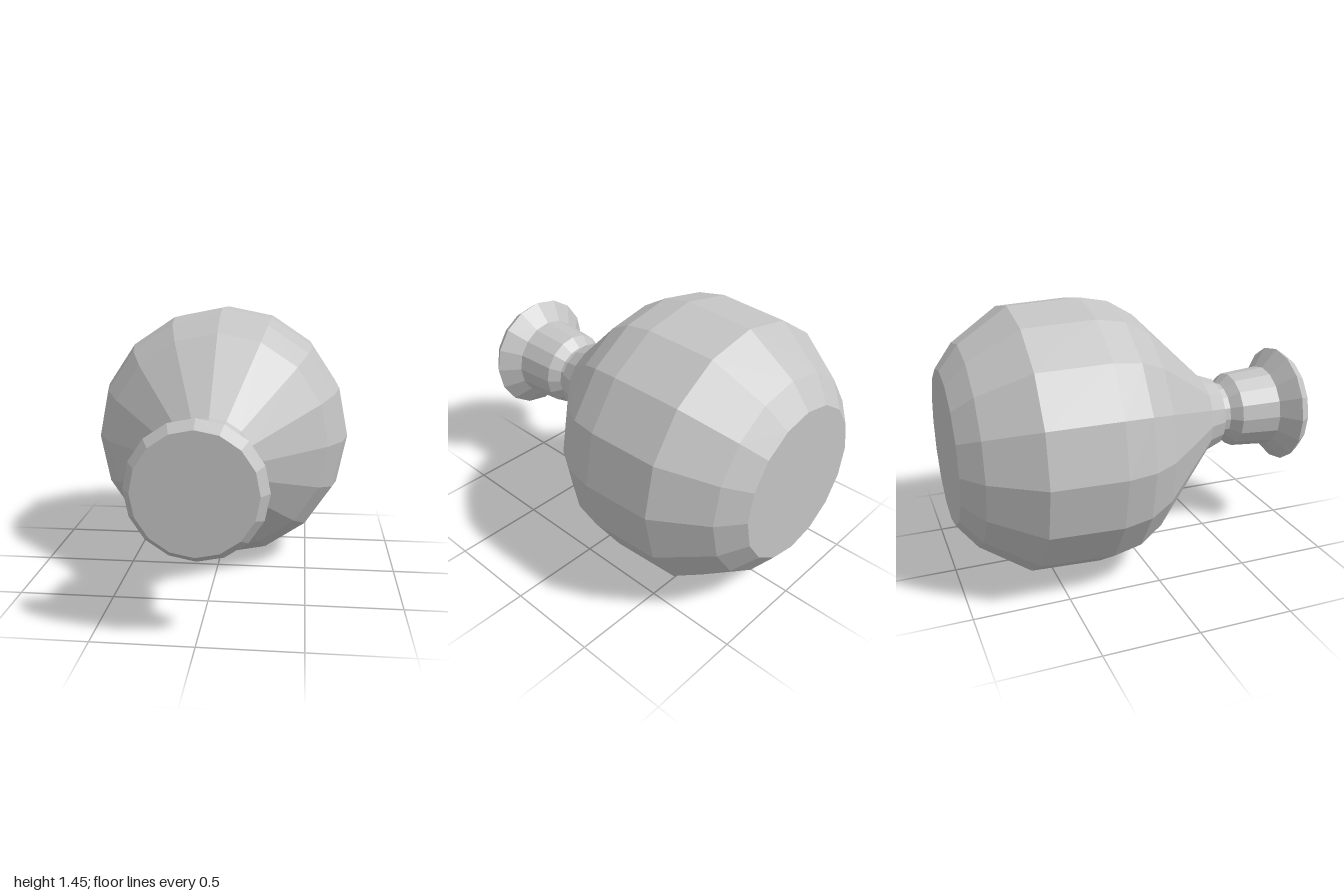
import * as THREE from 'three';

const SIDES = 16;
const AXIS_HEIGHT = 0.728;

export function createModel() {
  const model = new THREE.Group();
  model.name = 'flask';
  const grey = new THREE.MeshStandardMaterial({ color: 0xc4c4c4, flatShading: true });
  grey.name = 'grey';

  // Turned part lying along z; profile is [radius, z] from back to front
  function turned(name, profile) {
    const points = profile.map(([r, z]) => new THREE.Vector2(r, z));
    const geometry = new THREE.LatheGeometry(points, SIDES);
    geometry.rotateX(Math.PI / 2);
    geometry.translate(0, AXIS_HEIGHT, 0);
    const mesh = new THREE.Mesh(geometry, grey);
    mesh.name = name;
    model.add(mesh);
  }

  // Rounded body with a flat base at the back, tapering to the shoulder
  turned('body', [
    [0, -1], [0.41, -1], [0.537, -0.9], [0.711, -0.64], [0.727, -0.26],
    [0.696, -0.105], [0.612, 0.035], [0.23, 0.43], [0.195, 0.525],
  ]);

  // Narrow groove and the neck in front of it
  turned('neck', [
    [0.195, 0.525], [0.162, 0.54], [0.162, 0.575], [0.212, 0.63], [0.23, 0.855],
  ]);

  // Flared lip closed by a flat disc
  turned('lip', [[0.23, 0.855], [0.333, 0.94], [0.292, 1], [0, 1]]);

  return model;
}
